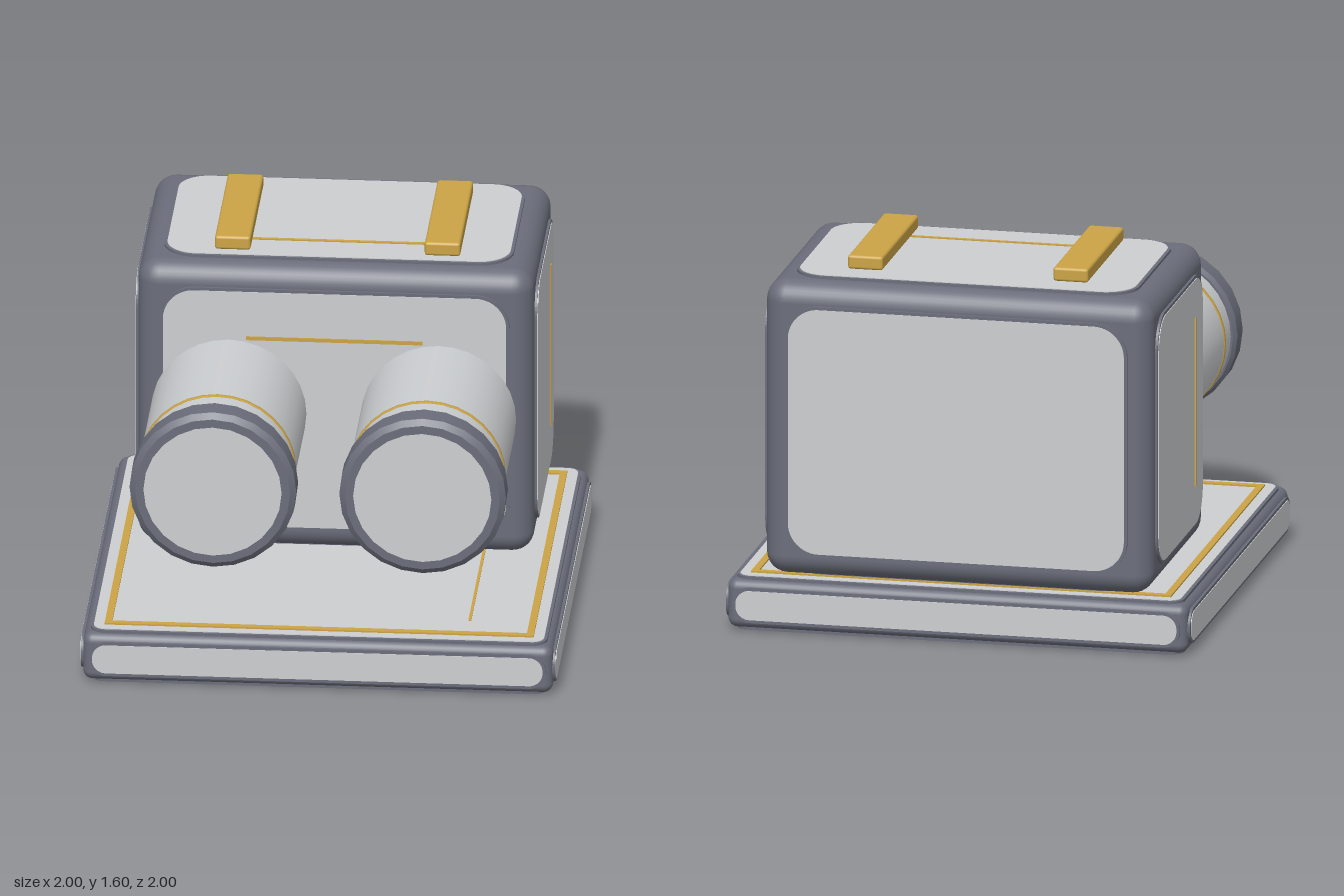
import * as THREE from 'three';
import { RoundedBoxGeometry } from 'three/addons/geometries/RoundedBoxGeometry.js';

export function createModel() {
  const root = new THREE.Group();
  const mat = (name, color) => {
    const m = new THREE.MeshStandardMaterial({ color });
    m.name = name;
    return m;
  };
  const light = mat('light grey panel', 0xcccfd1);
  const frame = mat('slate frame', 0x6b6e7b);
  const gold = mat('gold trim', 0xcca446);

  const add = (parent, name, geo, m, x = 0, y = 0, z = 0) => {
    const mesh = new THREE.Mesh(geo, m);
    mesh.name = name;
    mesh.position.set(x, y, z);
    parent.add(mesh);
    return mesh;
  };

  const roundRect = (w, h, r) => {
    const s = new THREE.Shape();
    s.moveTo(-w + r, -h);
    s.lineTo(w - r, -h);
    s.absarc(w - r, -h + r, r, -Math.PI / 2, 0);
    s.lineTo(w, h - r);
    s.absarc(w - r, h - r, r, 0, Math.PI / 2);
    s.lineTo(-w + r, h);
    s.absarc(-w + r, h - r, r, Math.PI / 2, Math.PI);
    s.lineTo(-w, -h + r);
    s.absarc(-w + r, -h + r, r, Math.PI, Math.PI * 1.5);
    return s;
  };
  const plate = (w, h, r, depth) =>
    new THREE.ExtrudeGeometry(roundRect(w, h, r), { depth, bevelEnabled: false, curveSegments: 6 });

  // Rounded box with a raised rim and an inlaid panel on each of its six faces
  const panelledBox = (name, pos, half, edge, inner, radii, rise) => {
    const g = new THREE.Group();
    g.name = name;
    g.position.set(...pos);
    root.add(g);
    add(g, name + 'Shell', new RoundedBoxGeometry(half[0] * 2, half[1] * 2, half[2] * 2, 4, edge), frame);
    const q = Math.PI / 2;
    const faces = [
      ['Front', 0, 1, 2, 0, 0], ['Back', 0, 1, 2, 0, Math.PI],
      ['Left', 2, 1, 0, 0, q], ['Right', 2, 1, 0, 0, -q],
      ['Top', 0, 2, 1, -q, 0], ['Bottom', 0, 2, 1, q, 0],
    ];
    for (const [side, a, b, n, rx, ry] of faces) {
      const face = new THREE.Group();
      face.name = name + side;
      face.rotation.set(rx, ry, 0);
      g.add(face);
      const r = n === 1 ? radii[1] : radii[0];
      const d = half[n] + rise;
      add(face, 'rim', plate(inner[a] + 0.013, inner[b] + 0.013, r + 0.013, 0.03), frame, 0, 0, d - 0.033);
      add(face, 'panel', plate(inner[a], inner[b], r, 0.004), light, 0, 0, d - 0.004);
    }
  };

  panelledBox('base', [0, 0.118, 0], [0.985, 0.105, 0.985], 0.04, [0.945, 0.063, 0.945], [0.058, 0.05], 0.013);
  panelledBox('body', [0, 0.8875, -0.46], [0.83, 0.6375, 0.525], 0.09, [0.72, 0.53, 0.42], [0.13, 0.13], 0.014);

  // Gold border on the base
  const border = roundRect(0.9, 0.9, 0.002);
  border.holes.push(roundRect(0.87, 0.87, 0.002));
  const borderMesh = add(root, 'baseBorder',
    new THREE.ExtrudeGeometry(border, { depth: 0.008, bevelEnabled: false }), gold, 0, 0.235, 0);
  borderMesh.rotation.x = -Math.PI / 2;

  // Thin gold lines on the panels
  const line = (name, w, h, d, x, y, z) => add(root, name, new THREE.BoxGeometry(w, h, d), gold, x, y, z);
  line('baseLine', 0.012, 0.008, 1.4, 0.62, 0.236, 0.04);
  line('frontLine', 0.74, 0.016, 0.008, 0, 1.21, 0.08);
  line('topLine', 0.76, 0.008, 0.016, 0, 1.54, -0.21);
  line('leftLine', 0.008, 0.73, 0.014, 0.845, 0.89, -0.71);
  line('rightLine', 0.008, 0.73, 0.014, -0.845, 0.89, -0.19);

  // Barrels, end collars and top rails, one of each per side
  const tube = (pts, seg) => {
    const geo = new THREE.LatheGeometry(pts.map(p => new THREE.Vector2(...p)), seg);
    return geo.rotateX(Math.PI / 2);
  };
  for (const s of [-1, 1]) {
    const g = new THREE.Group();
    g.name = s > 0 ? 'leftBarrel' : 'rightBarrel';
    g.position.set(s * 0.44, 0.89, 0);
    root.add(g);
    add(g, 'barrelChamfer', tube([[0.285, 0.07], [0.325, 0.115]], 32), light);
    add(g, 'barrelTube', tube([[0.325, 0.115], [0.325, 0.86]], 32), light);
    add(g, 'barrelRing', tube([[0.324, 0.72], [0.33, 0.72], [0.33, 0.737], [0.324, 0.737]], 32), gold);
    const profile = [[0.32, 0.848], [0.335, 0.848], [0.35, 0.865], [0.35, 0.965], [0.325, 0.985], [0, 0.985]];
    for (let i = 0; i < profile.length - 1; i++) {
      add(g, 'collar', tube([profile[i], profile[i + 1]], 24), frame);
    }
    add(g, 'endDisc', new THREE.CircleGeometry(0.29, 24), light, 0, 0, 0.988);
    add(root, s > 0 ? 'leftRail' : 'rightRail',
      new RoundedBoxGeometry(0.15, 0.06, 0.69, 2, 0.012), gold, s * 0.44, 1.57, -0.425);
  }
  return root;
}
